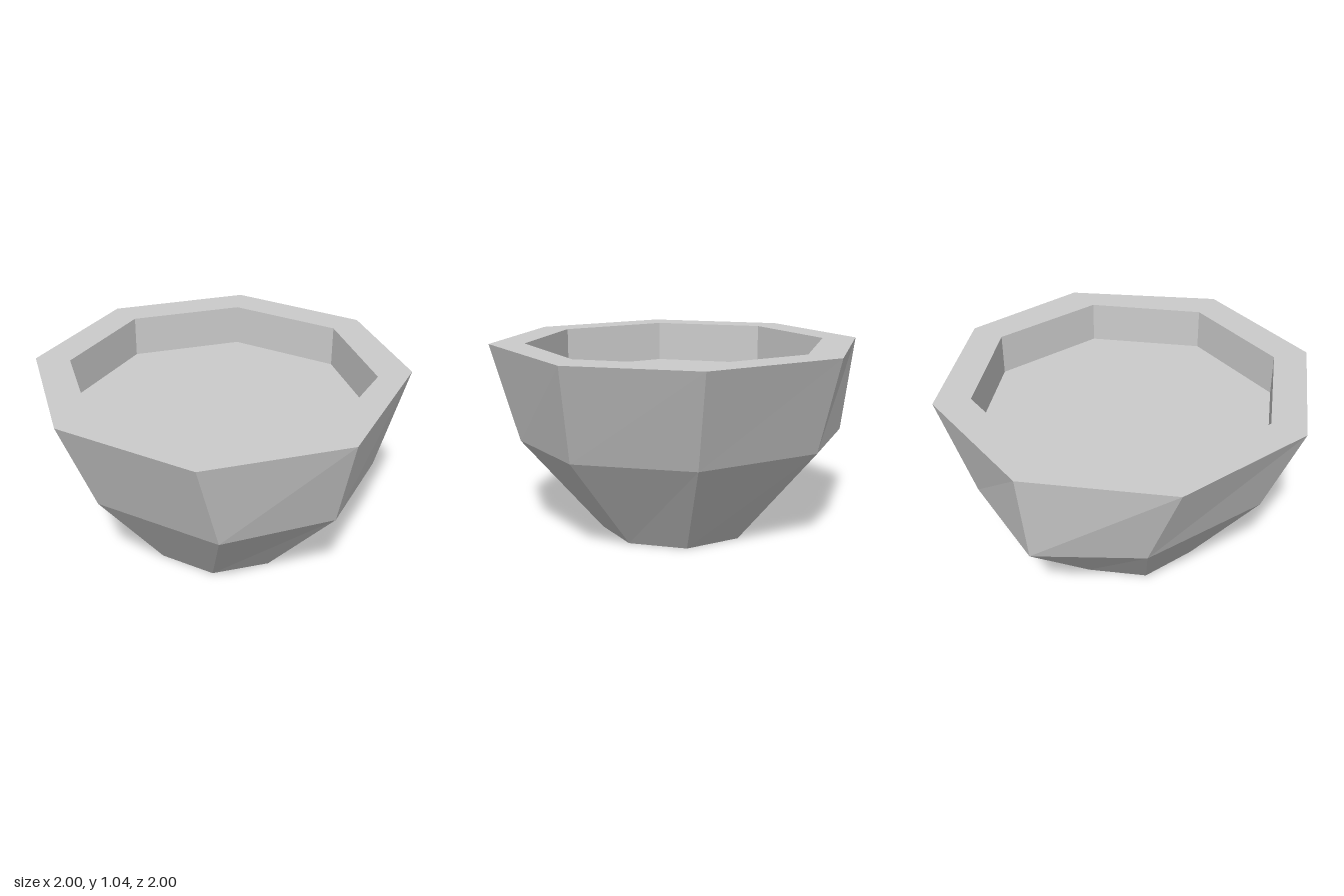
import * as THREE from 'three';

// Eight-sided ring, starting at +x and turning towards +z
function regularRing(radius, y) {
  return Array.from({ length: 8 }, (_, i) => {
    const a = (i * Math.PI) / 4;
    return [radius * Math.cos(a), y, radius * Math.sin(a)];
  });
}

const atHeight = (points, y) => points.map(([x, z]) => [x, y, z]);

// Quads between two rings (the outside faces away from the axis when going up)
function addBand(out, lower, upper) {
  lower.forEach((a, i) => {
    const j = (i + 1) % lower.length;
    out.push(a, upper[i], lower[j], lower[j], upper[i], upper[j]);
  });
}

// Flat cap over one ring
function addCap(out, ring, facesUp) {
  for (let i = 1; i < ring.length - 1; i++) {
    out.push(ring[0], ...(facesUp ? [ring[i + 1], ring[i]] : [ring[i], ring[i + 1]]));
  }
}

function makeMesh(name, corners, material) {
  const geometry = new THREE.BufferGeometry();
  geometry.setAttribute('position', new THREE.Float32BufferAttribute(corners.flat(), 3));
  geometry.computeVertexNormals();
  const mesh = new THREE.Mesh(geometry, material);
  mesh.name = name;
  return mesh;
}

export function createModel() {
  const group = new THREE.Group();
  group.name = 'facetedBowl';
  const material = new THREE.MeshStandardMaterial({ color: 0xcccccc, flatShading: true });

  // Slightly uneven, hand-hewn rings from foot to rim
  const foot = regularRing(0.415, 0);
  const waist = atHeight([[0.85, -0.05], [0.65, 0.53], [0, 0.8], [-0.65, 0.5],
    [-0.93, 0], [-0.65, -0.53], [0, -0.79], [0.6, -0.57]], 0.52);
  const rim = atHeight([[1, 0], [0.71, 0.705], [0, 1], [-0.71, 0.705],
    [-1, 0], [-0.71, -0.71], [0, -1], [0.645, -0.755]], 1.037);
  const innerRim = regularRing(0.812, 1.037);
  const innerBase = regularRing(0.812, 0.81);

  // Outer shell, rim and inner wall
  const shell = [];
  addCap(shell, foot, false);
  const rings = [foot, waist, rim, innerRim, innerBase];
  for (let i = 0; i < rings.length - 1; i++) addBand(shell, rings[i], rings[i + 1]);
  group.add(makeMesh('bowlShell', shell, material));

  // Flat floor of the recess
  const floor = [];
  addCap(floor, innerBase, true);
  group.add(makeMesh('recessFloor', floor, material));

  return group;
}
